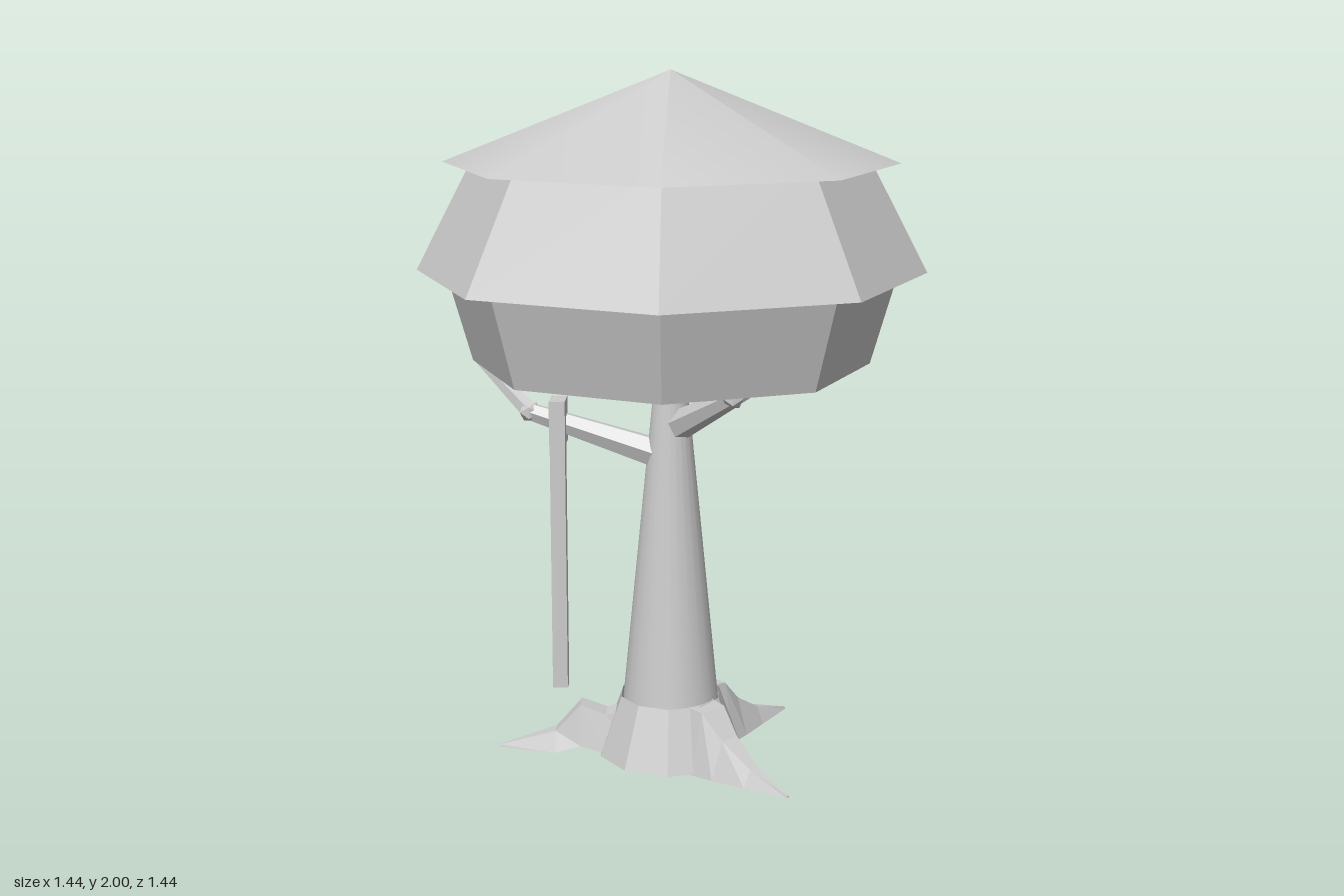
import * as THREE from 'three';

const flat = new THREE.MeshStandardMaterial({ color: 0xcccccc, flatShading: true, side: THREE.DoubleSide });
const smooth = new THREE.MeshStandardMaterial({ color: 0xcccccc, side: THREE.DoubleSide });

function add(parent, name, geometry, material = flat) {
  const mesh = new THREE.Mesh(geometry, material);
  mesh.name = name;
  parent.add(mesh);
  return mesh;
}

// Open or capped frustum standing between two heights
function frustum(rTop, yTop, rBottom, yBottom, sides, open = true) {
  return new THREE.CylinderGeometry(rTop, rBottom, yTop - yBottom, sides, 1, open)
    .translate(0, (yTop + yBottom) / 2, 0);
}

// Tapered limb between two points
function limb(parent, name, from, to, rFrom, rTo, sides = 6) {
  const a = new THREE.Vector3(...from), b = new THREE.Vector3(...to);
  const dir = b.clone().sub(a);
  const mesh = add(parent, name, new THREE.CylinderGeometry(rTo, rFrom, dir.length(), sides));
  mesh.position.copy(a).add(b).multiplyScalar(0.5);
  mesh.quaternion.setFromUnitVectors(new THREE.Vector3(0, 1, 0), dir.normalize());
}

// Root running along +x; each section is [x, top y, bottom y, top half width, bottom half width]
function rootGeometry(sections) {
  const positions = [], index = [];
  sections.forEach(([x, yt, yb, t, b], i) => {
    positions.push(x, yb, b, x, yt, t, x, yt, -t, x, yb, -b);
    if (i === sections.length - 1) return;
    for (let j = 0; j < 4; j++) {
      const k = (j + 1) % 4, p = i * 4, q = p + 4;
      index.push(p + j, q + j, p + k, p + k, q + j, q + k);
    }
  });
  const geometry = new THREE.BufferGeometry();
  geometry.setAttribute('position', new THREE.Float32BufferAttribute(positions, 3));
  geometry.setIndex(index);
  geometry.computeVertexNormals();
  return geometry;
}

export function createModel() {
  const tree = new THREE.Group();
  tree.name = 'tree';

  // Canopy: three overlapping hollow octagonal tiers
  const canopy = new THREE.Group();
  canopy.name = 'canopy';
  tree.add(canopy);
  add(canopy, 'canopyTop', frustum(0, 2, 0.64, 1.745, 8), smooth);
  add(canopy, 'canopyMiddle', frustum(0.54, 1.782, 0.72, 1.44, 8));
  add(canopy, 'canopyBottom', frustum(0.645, 1.46, 0.565, 1.18, 8));

  // Trunk tapering to a point inside the canopy
  add(tree, 'trunk', frustum(0.003, 1.57, 0.14, 0.17, 24, false), smooth);

  // Flared foot and three roots
  const roots = new THREE.Group();
  roots.name = 'roots';
  tree.add(roots);
  add(roots, 'rootFlare', frustum(0.15, 0.185, 0.215, 0.005, 10));
  const straight = [
    [0.12, 0.185, 0, 0.05, 0.09],
    [0.18, 0.18, 0, 0.045, 0.085],
    [0.25, 0.11, 0, 0.03, 0.07],
    [0.35, 0.05, 0, 0.015, 0.04],
    [0.485, 0.01, 0.003, 0.002, 0.004],
  ];
  const bent = [
    [0.12, 0.14, 0.02, 0.04, 0.06],
    [0.19, 0.122, 0.01, 0.035, 0.06],
    [0.265, 0.15, 0.03, 0.03, 0.055],
    [0.34, 0.065, 0.005, 0.025, 0.05],
    [0.51, 0.01, 0.003, 0.002, 0.004],
  ];
  for (const s of [-1, 1]) {
    add(roots, s > 0 ? 'backRoot' : 'frontRoot', rootGeometry(straight)).rotation.y = s * Math.PI / 4;
  }
  add(roots, 'bentRoot', rootGeometry(bent)).rotation.y = Math.PI;

  // Two branches, each with a thick arm, a knuckle and a thin tip
  const branches = [
    { name: 'rightBranch', start: [-0.03, 0.91, 0], joint: [-0.41, 1.02, -0.05], tip: [-0.58, 1.15, -0.2] },
    { name: 'leftBranch', start: [0.01, 0.99, 0.01], joint: [0.18, 1.12, 0.2], tip: [0.4, 1.25, 0.19] },
  ];
  for (const { name, start, joint, tip } of branches) {
    const branch = new THREE.Group();
    branch.name = name;
    tree.add(branch);
    limb(branch, 'branchArm', start, joint, 0.046, 0.027);
    add(branch, 'branchKnuckle', new THREE.IcosahedronGeometry(0.033, 0)).position.set(...joint);
    limb(branch, 'branchTip', joint, tip, 0.026, 0.015, 5);
  }

  // Rope hanging from the right branch, with the loop that ties it on
  const rope = new THREE.Group();
  rope.name = 'rope';
  rope.position.x = -0.325;
  tree.add(rope);
  add(rope, 'ropeStrand', new THREE.BoxGeometry(0.044, 0.86, 0.044)).position.y = 0.63;
  add(rope, 'ropeLoop', new THREE.BoxGeometry(0.046, 0.13, 0.09)).position.set(0, 1, -0.02);

  return tree;
}
